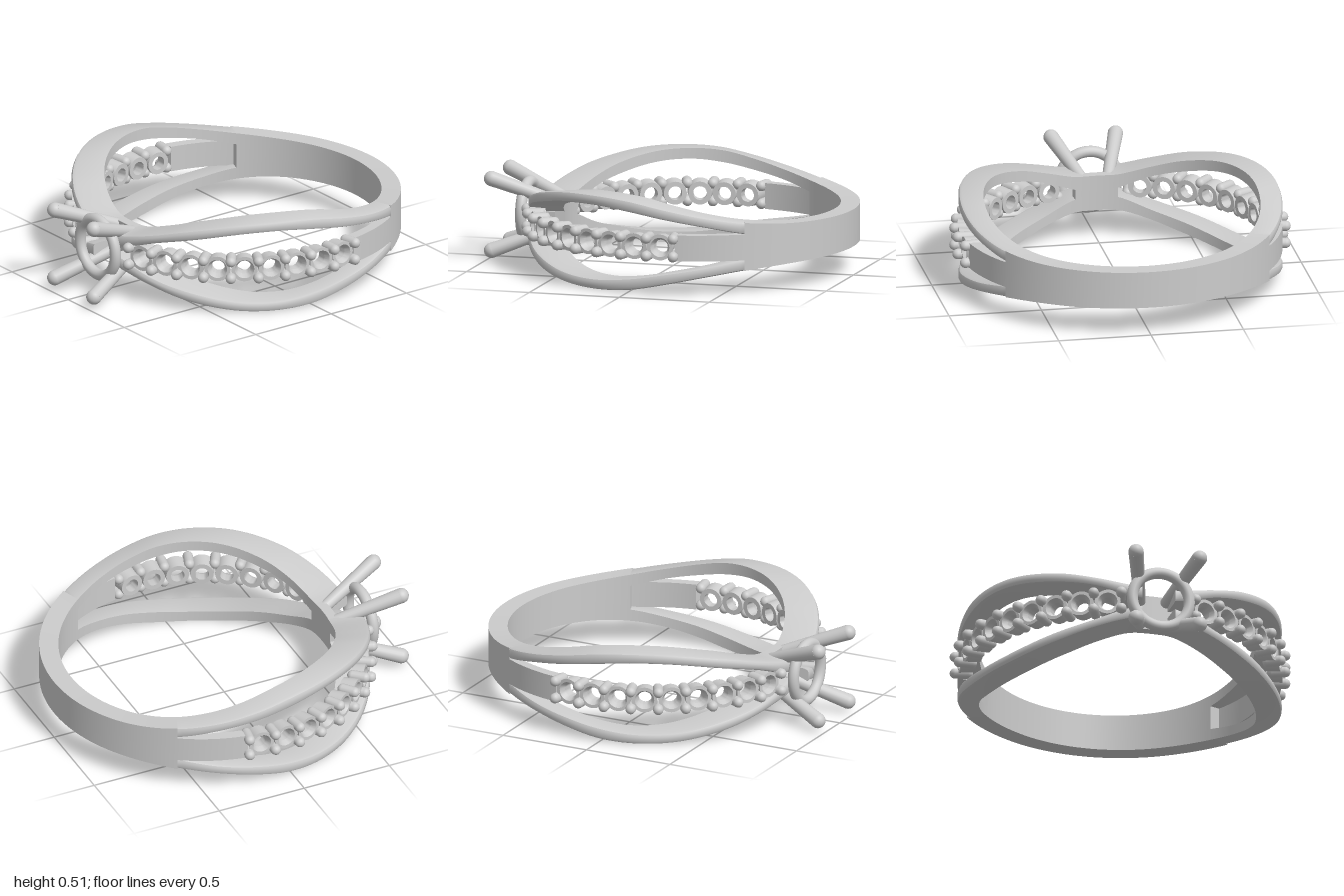
import * as THREE from 'three';
import { toCreasedNormals } from 'three/addons/utils/BufferGeometryUtils.js';

const MID = 0.26; // height of the ring's middle plane
const DEG = Math.PI / 180;
const metal = new THREE.MeshStandardMaterial({ color: 0xcccccc });

// Angle from the front (degrees), top and underside of the upper rail
const RAIL = [
  [5, 0.355, 0.275], [11, 0.365, 0.295], [23, 0.41, 0.355], [36, 0.46, 0.4],
  [54, 0.505, 0.447], [69, 0.515, 0.457], [82.5, 0.502, 0.438], [95.5, 0.465, 0.405],
  [109, 0.425, 0.37], [124, 0.39, 0.327], [140, 0.37, 0.3], [160, 0.362, 0.3], [180, 0.36, 0.3],
];

// Smooth (Hermite) reading of one column of the table
function railHeight(deg, col) {
  const a = Math.min(Math.max(Math.abs(deg), 5), 180);
  let i = 0;
  while (i < RAIL.length - 2 && a > RAIL[i + 1][0]) i++;
  const slope = (k) => {
    const p = RAIL[Math.max(k - 1, 0)], q = RAIL[Math.min(k + 1, RAIL.length - 1)];
    return (q[col] - p[col]) / (q[0] - p[0]);
  };
  const h = RAIL[i + 1][0] - RAIL[i][0], t = (a - RAIL[i][0]) / h, t2 = t * t, t3 = t2 * t;
  return RAIL[i][col] * (2 * t3 - 3 * t2 + 1) + RAIL[i + 1][col] * (3 * t2 - 2 * t3)
    + h * (slope(i) * (t3 - 2 * t2 + t) + slope(i + 1) * (t3 - t2));
}

// Point in the band: f = 0 on the finger hole, f = 1 on the outer face
function bandPoint(deg, f, y) {
  const s = Math.sin(deg * DEG), c = Math.cos(deg * DEG);
  const lerp = THREE.MathUtils.lerp;
  return [lerp(0.7375, 0.862, f) * s, y, lerp(-0.16 + 0.7375 * c, -0.115 + 0.885 * c, f)];
}

// Sweep a section [[f, y], ...] (counter-clockwise) around the band
function sweep(from, to, steps, section) {
  const rings = [], pos = [];
  for (let i = 0; i <= steps; i++) {
    const a = from + (to - from) * i / steps;
    rings.push(section(a).map(([f, y]) => bandPoint(a, f, y)));
  }
  const tri = (a, b, c) => pos.push(...a, ...b, ...c);
  const n = rings[0].length;
  for (let i = 0; i < steps; i++) {
    const A = rings[i], B = rings[i + 1];
    for (let j = 0; j < n; j++) {
      const k = (j + 1) % n;
      tri(A[j], B[j], B[k]);
      tri(A[j], B[k], A[k]);
    }
  }
  const first = rings[0], last = rings[steps];
  for (let j = 1; j < n - 1; j++) {
    tri(first[0], first[j], first[j + 1]);
    tri(last[0], last[j + 1], last[j]);
  }
  const geo = new THREE.BufferGeometry();
  geo.setAttribute('position', new THREE.Float32BufferAttribute(pos, 3));
  return toCreasedNormals(geo, 0.6);
}

const box = (f0, f1, lo, hi) => [[f0, lo], [f1, lo], [f1, hi], [f0, hi]];

// Section with softened outer corners
const softBox = (lo, hi) => [
  [0, lo], [0.86, lo], [0.96, lo + 0.006], [1, lo + 0.018],
  [1, hi - 0.018], [0.96, hi - 0.006], [0.86, hi], [0, hi],
];

function add(parent, name, geo) {
  const mesh = new THREE.Mesh(geo, metal);
  mesh.name = name;
  parent.add(mesh);
  return mesh;
}

// Tapered round bar between two points
function bar(a, b, r0, r1) {
  const dir = b.clone().sub(a);
  const geo = new THREE.CylinderGeometry(r1, r0, dir.length(), 20);
  geo.applyQuaternion(new THREE.Quaternion().setFromUnitVectors(new THREE.Vector3(0, 1, 0), dir.normalize()));
  const m = a.clone().add(b).multiplyScalar(0.5);
  return geo.translate(m.x, m.y, m.z);
}

export function createModel() {
  const ring = new THREE.Group();
  ring.name = 'ring';

  // Solid back of the band
  add(ring, 'backBand', sweep(124, 236, 64, (a) => {
    const top = railHeight(a > 180 ? 360 - a : a, 1);
    return box(0, 1, 2 * MID - top, top);
  }));

  // Split rails and the strips that carry the stone row
  for (const side of [-1, 1]) {
    const range = (a, b) => (side > 0 ? [a, b] : [-b, -a]);
    add(ring, 'upperRail', sweep(...range(6, 124), 72,
      (a) => softBox(railHeight(a, 2), railHeight(a, 1))));
    add(ring, 'lowerRail', sweep(...range(6, 124), 72,
      (a) => softBox(2 * MID - railHeight(a, 1), 2 * MID - railHeight(a, 2))));
    add(ring, 'middleStrip', sweep(...range(99.5, 126), 16, () => box(0.5, 0.995, 0.187, 0.327)));
  }

  // Plate under the head, joining the rails
  add(ring, 'headPlate', sweep(-9, 9, 12, () => box(0, 0.28, 0.163, 0.357)));

  // Row of hollow collars with bead prongs between them
  const profile = [[0.037, -0.042], [0.062, -0.042], [0.07, 0.042], [0.052, 0.042], [0.037, 0.012], [0.037, -0.042]];
  const collarGeo = toCreasedNormals(
    new THREE.LatheGeometry(profile.map(([x, y]) => new THREE.Vector2(x, y)), 28), 0.5).rotateX(Math.PI / 2);
  const beadGeo = new THREE.CapsuleGeometry(0.028, 0.07, 6, 14).rotateX(Math.PI / 2);
  for (const side of [-1, 1]) {
    const row = new THREE.Group();
    row.name = side > 0 ? 'leftStoneRow' : 'rightStoneRow';
    row.position.set(0, MID, -0.115);
    ring.add(row);
    const place = (name, geo, deg, r, y) => {
      const mesh = add(row, name, geo);
      const a = side * deg * DEG;
      mesh.position.set(r * Math.sin(a), y, r * Math.cos(a));
      mesh.rotation.y = a;
    };
    for (let i = 0; i < 10; i++) {
      const deg = 13.2 + 9.57 * i;
      const r = 0.846 + 0.013 * Math.cos(deg * DEG);
      for (const y of [-0.048, 0.048]) place('bead', beadGeo, deg, r, y);
      if (i < 9) place('collar', collarGeo, deg + 4.785, r - 0.026, 0);
    }
  }

  // Head: gallery ring and four splayed prongs
  const head = new THREE.Group();
  head.name = 'head';
  ring.add(head);
  add(head, 'galleryRing', new THREE.TorusGeometry(0.156, 0.03, 16, 56)).position.set(0, MID, 0.803);
  for (const sx of [-1, 1]) {
    for (const sy of [-1, 1]) {
      const foot = new THREE.Vector3(sx * 0.068, MID + sy * 0.065, 0.615);
      const tip = new THREE.Vector3(sx * 0.174, MID + sy * 0.194, 0.959);
      add(head, 'prong', bar(foot, tip, 0.031, 0.041));
      add(head, 'prongTip', new THREE.SphereGeometry(0.041, 20, 14)).position.copy(tip);
    }
  }
  return ring;
}
